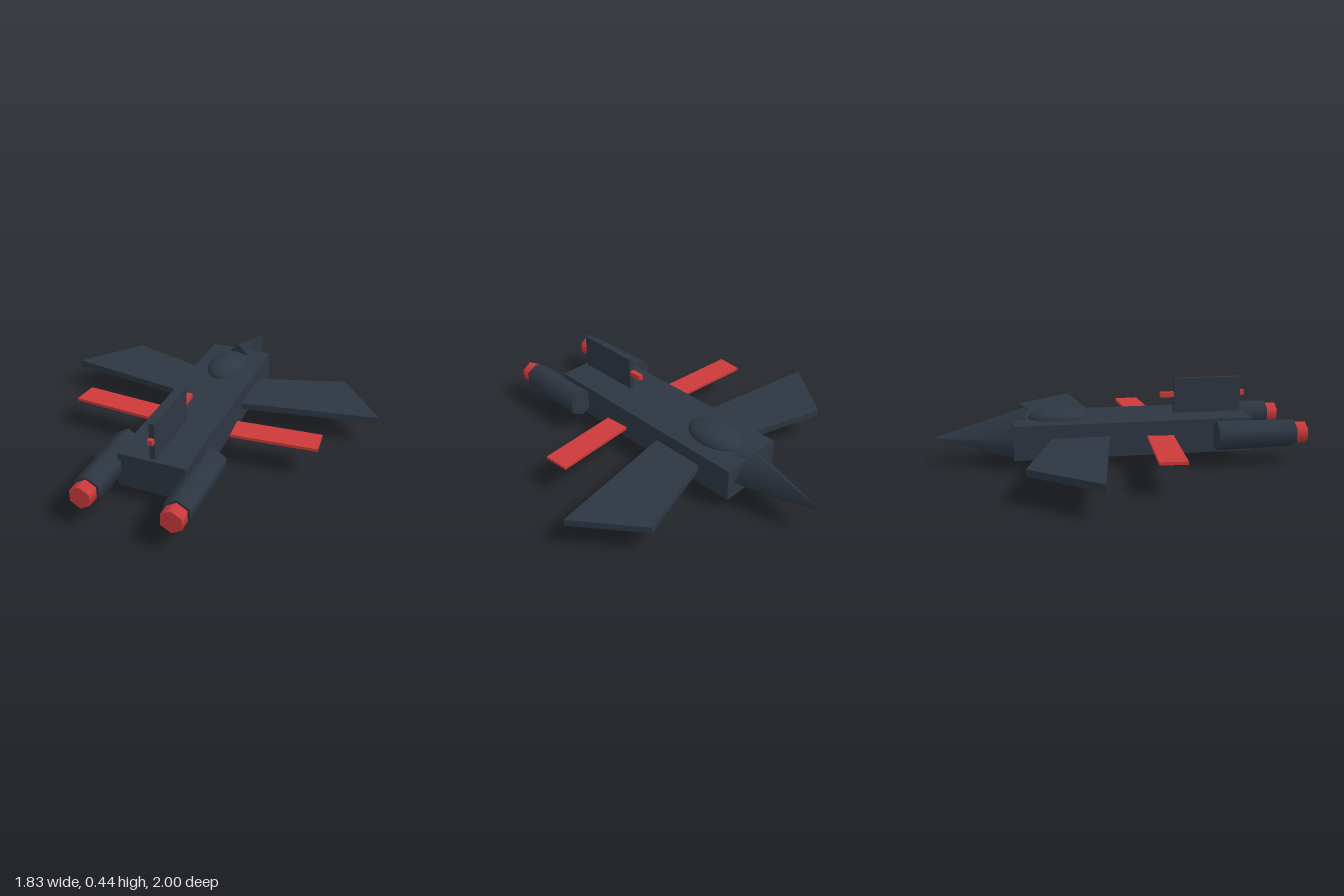
import * as THREE from 'three';

export function createModel() {
  const model = new THREE.Group();
  model.name = 'starfighter';

  const hull = new THREE.MeshStandardMaterial({ color: 0x2d3642 });
  hull.name = 'dark slate';
  const accent = new THREE.MeshStandardMaterial({ color: 0xcc3a3a });
  accent.name = 'red';

  const add = (name, geometry, material, x = 0, y = 0, z = 0) => {
    const mesh = new THREE.Mesh(geometry, material);
    mesh.name = name;
    mesh.position.set(x, y, z);
    model.add(mesh);
    return mesh;
  };

  // Fuselage
  add('fuselage', new THREE.BoxGeometry(0.358, 0.185, 1.29), hull, 0, 0.158, 0.075);

  // Four-sided nose pointing to -z
  const nose = new THREE.ConeGeometry(0.154, 0.5, 4).rotateX(-Math.PI / 2);
  add('nose', nose, hull, 0, 0.157, -0.75);

  // Canopy
  const canopy = new THREE.SphereGeometry(1, 32, 20).scale(0.108, 0.06, 0.166);
  add('canopy', canopy, hull, 0, 0.25, -0.32);

  // Tail fin with a red rod running through it
  add('tailFin', new THREE.BoxGeometry(0.028, 0.21, 0.38), hull, 0, 0.34, 0.51);
  add('tailRod', new THREE.BoxGeometry(0.027, 0.028, 0.48), accent, 0, 0.354, 0.483);

  for (const side of [1, -1]) {
    const label = side > 0 ? 'left' : 'right';

    // Forward-swept wing, outlined as [x, z]
    const outline = [[0.1, -0.345], [0.66, -0.522], [0.917, -0.19], [0.1, -0.05]];
    const shape = new THREE.Shape(outline.map(([x, z]) => new THREE.Vector2(side * x, -z)));
    const wing = new THREE.ExtrudeGeometry(shape, { depth: 0.036, bevelEnabled: false });
    add(label + 'Wing', wing.rotateX(-Math.PI / 2), hull, 0, 0.141, 0);

    // Red stabiliser blade
    const blade = add(label + 'Blade', new THREE.BoxGeometry(0.455, 0.016, 0.14), accent,
      side * 0.455, 0.177, 0.183);
    blade.rotation.y = side * 0.076;

    // Hexagonal engine and exhaust
    const engine = new THREE.CylinderGeometry(0.074, 0.082, 0.43, 6).rotateX(Math.PI / 2);
    add(label + 'Engine', engine, hull, side * 0.228, 0.17, 0.72);
    const exhaust = new THREE.CylinderGeometry(0.06, 0.06, 0.1, 6).rotateX(Math.PI / 2);
    add(label + 'Exhaust', exhaust, accent, side * 0.228, 0.17, 0.95);
  }

  return model;
}
